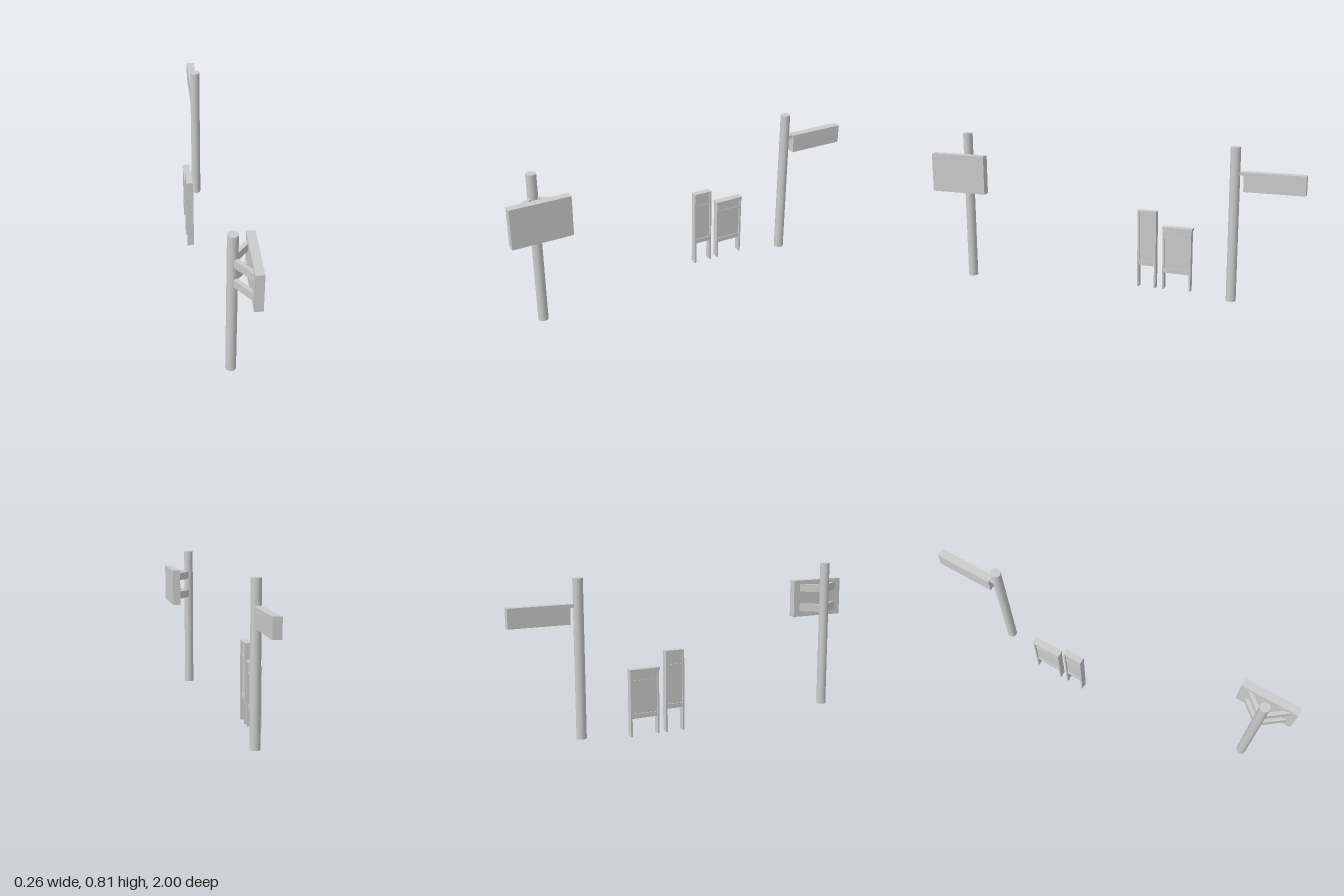
import * as THREE from 'three';

const grey = new THREE.MeshStandardMaterial({ color: 0xcccccc });

// Box given by its extents on each axis
function box(parent, name, [x0, x1], [y0, y1], [z0, z1]) {
  const mesh = new THREE.Mesh(new THREE.BoxGeometry(x1 - x0, y1 - y0, z1 - z0), grey);
  mesh.position.set((x0 + x1) / 2, (y0 + y1) / 2, (z0 + z1) / 2);
  mesh.name = name;
  parent.add(mesh);
  return mesh;
}

function post(parent, x, z) {
  const mesh = new THREE.Mesh(new THREE.CylinderGeometry(0.026, 0.026, 0.815, 32), grey);
  mesh.position.set(x, 0.4075, z);
  mesh.name = 'post';
  parent.add(mesh);
}

// Square-section arm running horizontally between two (x, z) points
function arm(parent, y, [x0, z0], [x1, z1]) {
  const length = Math.hypot(x1 - x0, z1 - z0);
  const mesh = new THREE.Mesh(new THREE.BoxGeometry(length, 0.043, 0.02), grey);
  mesh.position.set((x0 + x1) / 2, y, (z0 + z1) / 2);
  mesh.rotation.y = -Math.atan2(z1 - z0, x1 - x0);
  mesh.name = 'bracketArm';
  parent.add(mesh);
}

// Two-legged notice board with a header, a recessed panel and a bottom rail
function noticeBoard(parent, name, { z0, z1, top, split, bottom }) {
  const board = new THREE.Group();
  board.name = name;
  const x = -0.111, leg = 0.009;
  const depth = (d) => [x - d / 2, x + d / 2];
  box(board, 'leg', depth(0.037), [0, top], [z0, z0 + leg]);
  box(board, 'leg', depth(0.037), [0, top], [z1 - leg, z1]);
  const inner = [z0 + leg, z1 - leg];
  box(board, 'headerPanel', depth(0.022), [split, top], inner);
  box(board, 'topRail', depth(0.034), [top - 0.01, top], inner);
  box(board, 'middleRail', depth(0.028), [split - 0.005, split + 0.005], inner);
  box(board, 'mainPanel', depth(0.018), [bottom, split], inner);
  box(board, 'bottomRail', depth(0.028), [bottom, bottom + 0.025], inner);
  parent.add(board);
  return board;
}

export function createModel() {
  const model = new THREE.Group();
  model.name = 'signSet';

  // Wide sign held off its post by two pairs of splayed arms
  const wideSign = new THREE.Group();
  wideSign.name = 'wideSign';
  post(wideSign, 0.009, 0.84);
  box(wideSign, 'signPanel', [0.087, 0.13], [0.504, 0.712], [0.69, 1]);
  for (const y of [0.67, 0.557])
    for (const side of [-1, 1])
      arm(wideSign, y, [0.016, 0.84 + side * 0.014], [0.095, 0.847 + side * 0.112]);
  model.add(wideSign);

  // Flag-shaped sign on a short connector
  const flagSign = new THREE.Group();
  flagSign.name = 'flagSign';
  post(flagSign, -0.037, -0.64);
  box(flagSign, 'connector', [-0.047, -0.027], [0.671, 0.688], [-0.7, -0.65]);
  box(flagSign, 'signPanel', [-0.059, -0.015], [0.59, 0.69], [-1, -0.688]);
  model.add(flagSign);

  // Pair of notice boards
  noticeBoard(model, 'tallBoard', { z0: -0.212, z1: -0.108, top: 0.428, split: 0.35, bottom: 0.122 });
  const low = noticeBoard(model, 'lowBoard', { z0: -0.407, z1: -0.25, top: 0.336, split: 0.285, bottom: 0.092 });
  box(low, 'cap', [-0.131, -0.091], [0.336, 0.348], [-0.411, -0.246]);

  return model;
}
